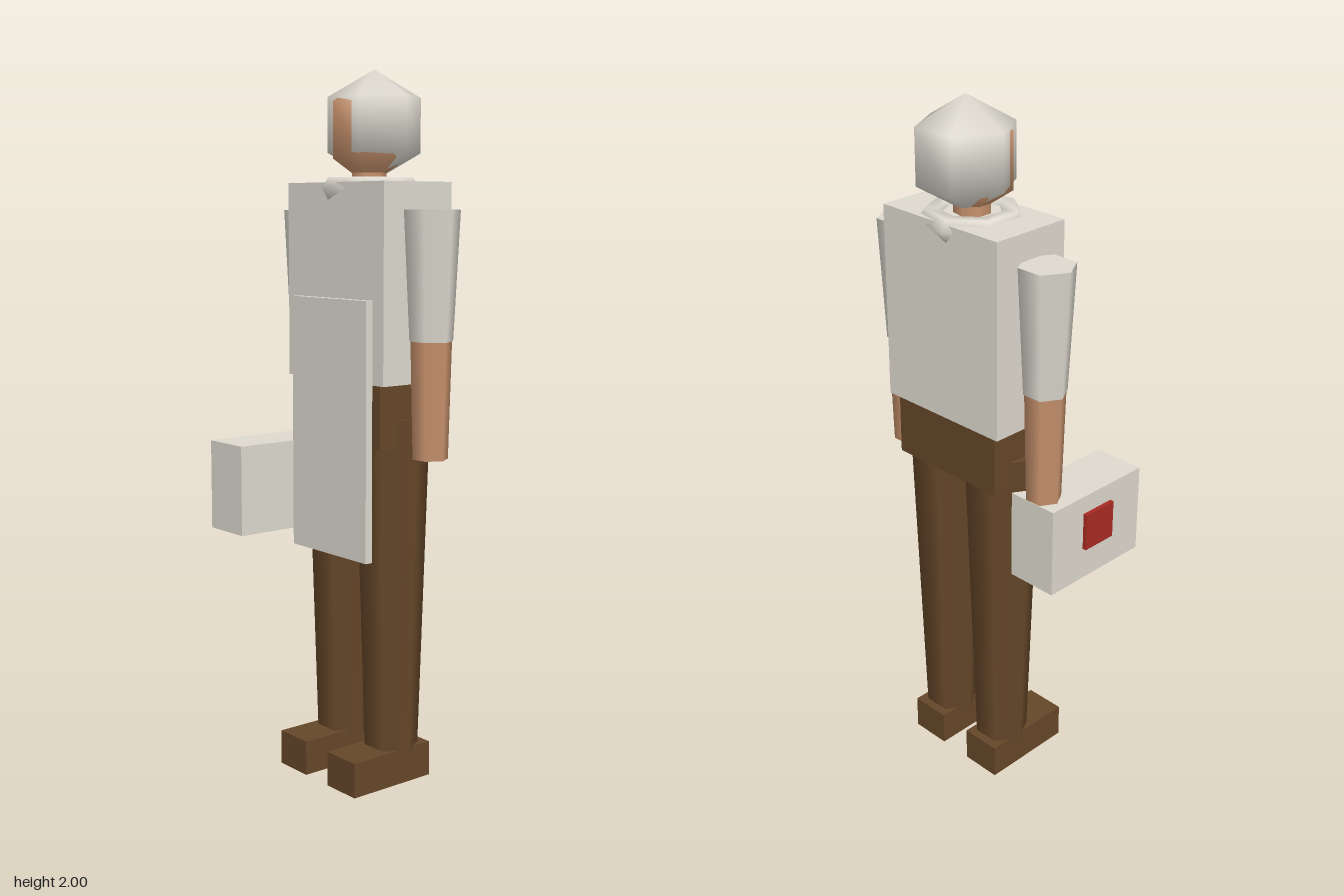
import * as THREE from 'three';

const paint = (name, color) => {
  const m = new THREE.MeshStandardMaterial({ color });
  m.name = name;
  return m;
};

export function createModel() {
  const cloth = paint('pale cloth', 0xdedad0);
  const skin = paint('skin', 0xc8926d);
  const brown = paint('dark brown', 0x664729);
  const red = paint('red', 0xaa2c24);

  const model = new THREE.Group();
  model.name = 'figure';
  // The body stands slightly off centre because of the case it carries
  const body = new THREE.Group();
  body.name = 'body';
  body.position.set(0.005, 0, -0.083);
  model.add(body);

  const add = (parent, name, geometry, material, x, y, z) => {
    const mesh = new THREE.Mesh(geometry, material);
    mesh.name = name;
    mesh.position.set(x, y, z);
    parent.add(mesh);
    return mesh;
  };
  // Box given by its minimum and maximum corners
  const box = (parent, name, material, [x0, y0, z0], [x1, y1, z1]) =>
    add(parent, name, new THREE.BoxGeometry(x1 - x0, y1 - y0, z1 - z0), material,
      (x0 + x1) / 2, (y0 + y1) / 2, (z0 + z1) / 2);
  // Tapered limb with a corner towards +x
  const limb = (name, material, x, y0, y1, r0, r1, sides = 6) => {
    const geometry = new THREE.CylinderGeometry(r1, r0, y1 - y0, sides).rotateY(Math.PI / 2);
    return add(body, name, geometry, material, x, (y0 + y1) / 2, 0);
  };

  // Trunk
  box(body, 'shirt', cloth, [-0.208, 1.15, -0.121], [0.208, 1.693, 0.121]);
  box(body, 'hips', brown, [-0.185, 0.973, -0.107], [0.185, 1.15, 0.112]);
  box(body, 'buckle', brown, [-0.04, 1.02, 0.112], [0.04, 1.09, 0.121]);
  box(body, 'apron', cloth, [-0.163, 0.66, 0.121], [0.163, 1.378, 0.143]);

  // Arms and legs
  for (const [side, s] of [['left', 1], ['right', -1]]) {
    limb(side + 'Sleeve', cloth, s * 0.264, 1.27, 1.618, 0.06, 0.077);
    limb(side + 'Forearm', skin, s * 0.264, 0.95, 1.27, 0.049, 0.057);
    limb(side + 'Leg', brown, s * 0.108, 0.09, 1.05, 0.077, 0.106);
    box(body, side + 'Shoe', brown, [s * 0.11 - 0.06, 0, -0.092], [s * 0.11 + 0.06, 0.1, 0.187]);
  }

  // Neck, collar and head
  limb('neck', skin, 0, 1.66, 1.78, 0.05, 0.05, 7);
  const collar = new THREE.TorusGeometry(0.107, 0.035, 6, 7).rotateX(Math.PI / 2);
  add(body, 'collar', collar, cloth, 0, 1.676, 0);
  const face = new THREE.SphereGeometry(0.126, 7, 3).rotateY(Math.PI);
  add(body, 'head', face, skin, 0, 1.835, 0).scale.y = 1.19;
  add(body, 'cap', new THREE.SphereGeometry(0.151, 6, 3), cloth, 0, 1.849, -0.021);

  // Carried case with a red badge on its outer side
  const carried = new THREE.Group();
  carried.name = 'carriedCase';
  model.add(carried);
  box(carried, 'case', cloth, [-0.335, 0.70, -0.127], [-0.183, 0.958, 0.225]);
  box(carried, 'badge', red, [-0.347, 0.795, -0.005], [-0.335, 0.905, 0.104]);

  return model;
}
